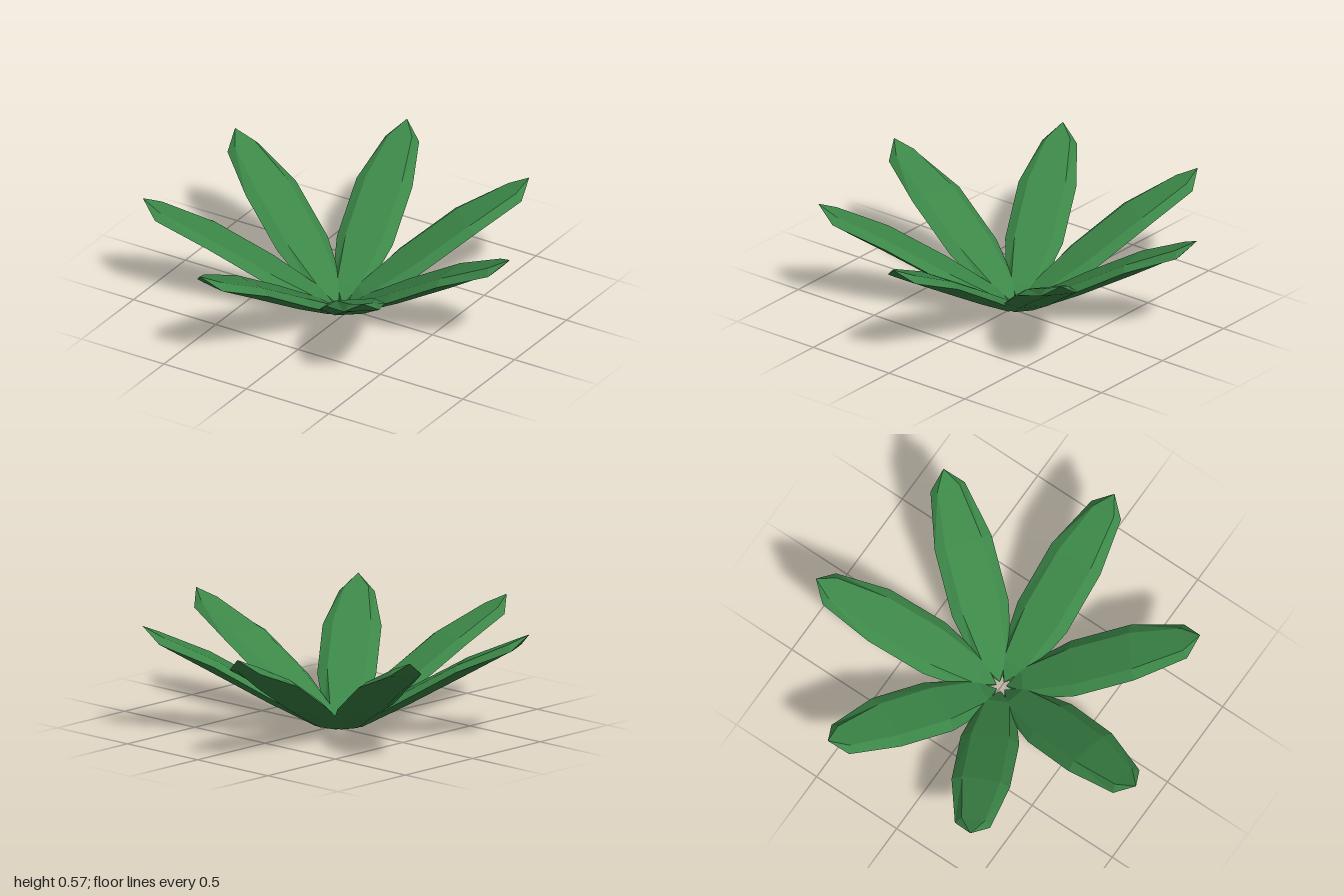
import * as THREE from 'three';

const LEAVES = 7;
const HALF_RUN = 0.5, HALF_RISE = 0.2875; // half the leaf's horizontal run and rise
const MID_RADIUS = 0.525;

// Leaf cross-sections from base to tip: [position -1..1, half width, rim, top, underside]
const SECTIONS = [
  [-0.809, 0.093, -0.01, 0.025, -0.03],
  [-0.309, 0.152, 0.0, 0.032, -0.035],
  [0.309, 0.152, 0.006, 0.034, -0.034],
  [0.82, 0.092, -0.032, 0.006, -0.033],
];

// Point in the leaf's tilted frame: l along it, t through its thickness, w across
function leafPoint(l, t, w) {
  const len = Math.hypot(HALF_RUN, HALF_RISE);
  const c = HALF_RUN / len, s = HALF_RISE / len;
  return [MID_RADIUS + l * HALF_RUN - t * s, HALF_RISE * (1 + l) + t * c, w];
}

// Closed faceted blade, six-sided in section and pointed at both ends
function leafGeometry() {
  const rings = SECTIONS.map(([l, w, rim, top, under]) => [
    [top, 0.65 * w], [rim, w], [under, 0.5 * w],
    [under, -0.5 * w], [rim, -w], [top, -0.65 * w],
  ].map(([t, x]) => leafPoint(l, t, x)));
  const base = leafPoint(-1, 0, 0), tip = leafPoint(1, 0, 0);
  const last = rings[rings.length - 1];
  const out = [];
  const tri = (a, b, c) => out.push(...a, ...b, ...c);
  for (let j = 0; j < 6; j++) {
    const k = (j + 1) % 6;
    tri(base, rings[0][k], rings[0][j]);
    for (let i = 0; i < rings.length - 1; i++) {
      const a = rings[i], b = rings[i + 1];
      tri(a[j], a[k], b[k]);
      tri(a[j], b[k], b[j]);
    }
    tri(last[j], last[k], tip);
  }
  const g = new THREE.BufferGeometry();
  g.setAttribute('position', new THREE.Float32BufferAttribute(out, 3));
  g.computeVertexNormals();
  return g;
}

export function createModel() {
  const model = new THREE.Group();
  model.name = 'leafRosette';
  const leafGreen = new THREE.MeshStandardMaterial({ color: 0x3c8748, flatShading: true });
  leafGreen.name = 'leafGreen';

  // Leaves fanned evenly round the open centre
  const geometry = leafGeometry();
  for (let i = 0; i < LEAVES; i++) {
    const leaf = new THREE.Mesh(geometry, leafGreen);
    leaf.name = `leaf${i + 1}`;
    leaf.position.x = -0.055;
    leaf.rotation.y = (i * Math.PI * 2) / LEAVES;
    model.add(leaf);
  }
  return model;
}
